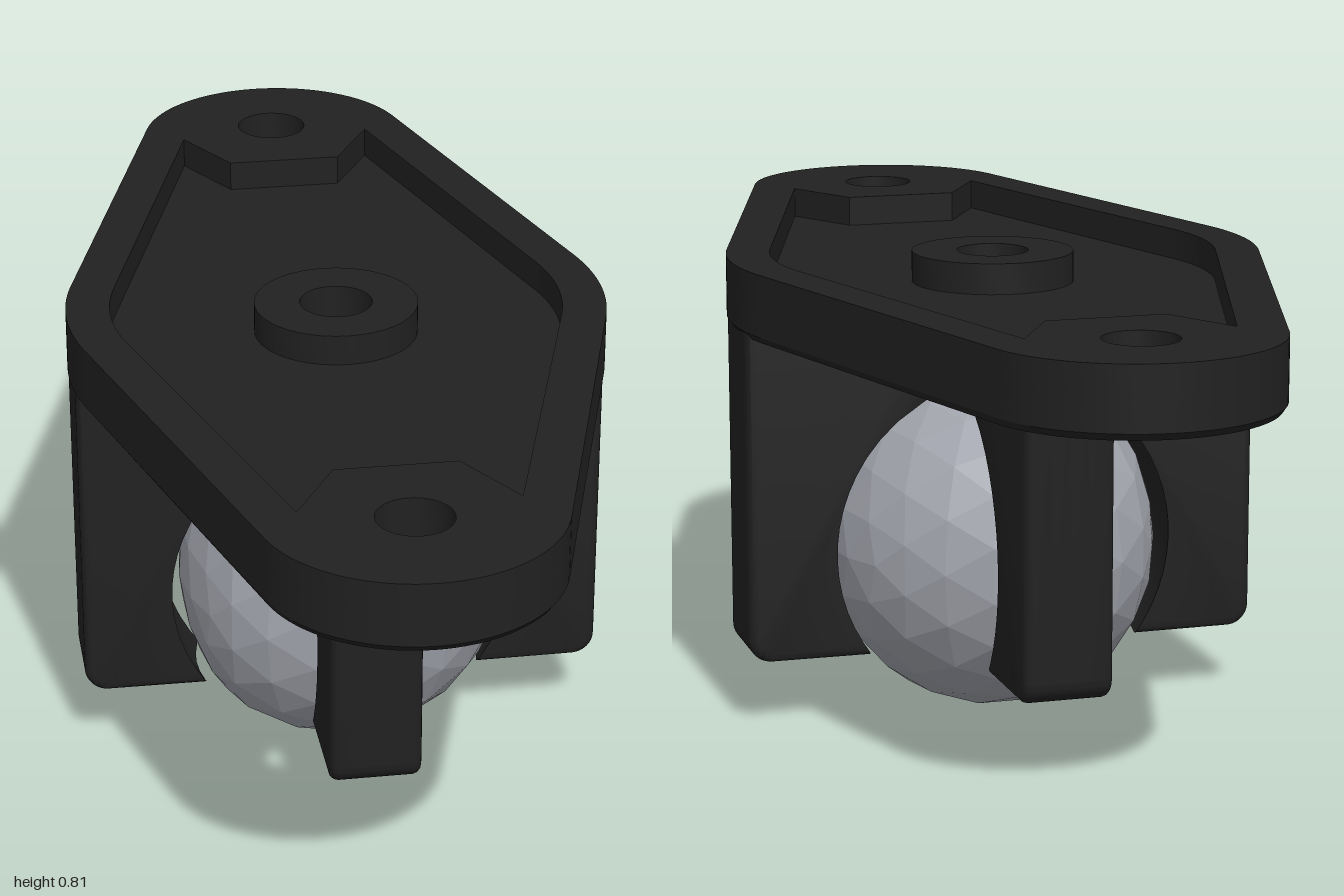
import * as THREE from 'three';
import { toCreasedNormals } from 'three/addons/utils/BufferGeometryUtils.js';

const PLATE_TOP = 0.803, FLOOR = 0.75, POCKET = 0.732, PLATE_BOTTOM = 0.685;
const TILT = Math.asin(0.215 / 0.755); // angle of the plate's tangent sides
const BOLTS = [0.79, -0.808];
const BALL_Y = 0.296;

const black = new THREE.MeshStandardMaterial({ name: 'blackPlastic', color: 0x212121 });
const steel = new THREE.MeshStandardMaterial({ name: 'greyBall', color: 0xa0a3ab });

function circle(z, r) {
  return new THREE.Path().absarc(0, z, r, 0, Math.PI * 2, false);
}

function hexagon(z, r) {
  const points = [];
  for (let i = 0; i < 6; i++) {
    const a = i * Math.PI / 3;
    points.push(new THREE.Vector2(r * Math.cos(a), z + r * Math.sin(a)));
  }
  return new THREE.Path(points);
}

// Diamond outline: wide arcs at the sides, tight arcs at the ends
function plateOutline() {
  const s = new THREE.Shape();
  s.absarc(0, 0, 0.46, -TILT, TILT, false);
  s.absarc(0, 0.755, 0.245, TILT, Math.PI - TILT, false);
  s.absarc(0, 0, 0.46, Math.PI - TILT, Math.PI + TILT, false);
  s.absarc(0, -0.755, 0.245, Math.PI + TILT, 2 * Math.PI - TILT, false);
  s.closePath();
  return s;
}

// Shallow tray, notched by the hexagonal bolt bosses
function recessOutline() {
  const p = new THREE.Path();
  p.absarc(0, 0, 0.385, -TILT, TILT, false);
  p.lineTo(0.175, 0.747).lineTo(0.1, 0.617).lineTo(-0.1, 0.617).lineTo(-0.175, 0.747);
  p.absarc(0, 0, 0.385, Math.PI - TILT, Math.PI + TILT, false);
  p.lineTo(-0.172, -0.762).lineTo(-0.1, -0.635).lineTo(0.1, -0.635).lineTo(0.172, -0.762);
  p.closePath();
  return p;
}

// Horizontal slab between two heights
function slab(name, shape, holes, bottom, top) {
  shape.holes.push(...holes);
  const g = new THREE.ExtrudeGeometry(shape, { depth: top - bottom, bevelEnabled: false, curveSegments: 20 });
  g.rotateX(Math.PI / 2).translate(0, top, 0);
  const mesh = new THREE.Mesh(toCreasedNormals(g, 0.5), black);
  mesh.name = name;
  return mesh;
}

// Narrow the outer bottom edge of a slab, leaving its holes alone
function chamferBottom(mesh, bottom) {
  const p = mesh.geometry.attributes.position;
  for (let i = 0; i < p.count; i++) {
    const x = p.getX(i), z = p.getZ(i);
    const nearHole = [0, ...BOLTS].some((c) => Math.hypot(x, z - c) < 0.15);
    if (p.getY(i) < bottom + 0.001 && !nearHole) p.setXYZ(i, x * 0.98, p.getY(i), z * 0.99);
  }
  mesh.geometry = toCreasedNormals(mesh.geometry, 0.5);
}

// Radius of the hollow between the arms: spherical socket, then a straight bore
function hollow(y) {
  const d = y - BALL_Y;
  return Math.max(0.136, Math.sqrt(Math.max(0, 0.31 * 0.31 - d * d)));
}

// Arm profile extruded across its width, inner face pressed onto the hollow
function armGeometry() {
  const bottom = 0.114, top = 0.735, outer = 0.455, round = 0.04, bevel = 0.015;
  const s = new THREE.Shape();
  s.moveTo(hollow(bottom), bottom);
  s.lineTo(outer - round, bottom);
  s.absarc(outer - round, bottom + round, round, -Math.PI / 2, 0, false);
  s.lineTo(outer, top);
  s.lineTo(0.136, top);
  s.lineTo(0.136, 0.58);
  for (let i = 0; i < 16; i++) {
    const y = 0.574 - (0.574 - bottom) * i / 16;
    s.lineTo(hollow(y), y);
  }
  s.closePath();
  const width = 0.156;
  const g = new THREE.ExtrudeGeometry(s, {
    depth: width - 2 * bevel, steps: 4, curveSegments: 6,
    bevelSize: bevel, bevelThickness: bevel, bevelOffset: -bevel, bevelSegments: 3,
  });
  g.translate(0, 0, bevel - width / 2);
  const p = g.attributes.position;
  for (let i = 0; i < p.count; i++) {
    if (p.getX(i) > 0.36) continue;
    const r = hollow(p.getY(i)), z = p.getZ(i);
    p.setX(i, Math.sqrt(r * r - z * z));
  }
  return toCreasedNormals(g, 0.6);
}

// Faceted ball, slightly worn on its right side
function ballGeometry() {
  const g = new THREE.IcosahedronGeometry(0.299, 3);
  const p = g.attributes.position;
  for (let i = 0; i < p.count; i++) {
    if (p.getX(i) < -0.2) p.setX(i, -0.2 + (p.getX(i) + 0.2) * 0.8);
  }
  g.computeVertexNormals();
  return g;
}

export function createModel() {
  const model = new THREE.Group();
  model.name = 'ballCaster';

  // Mounting plate in layers: nut pockets below, floor, rim with tray above
  const plate = new THREE.Group();
  plate.name = 'mountingPlate';
  const bolts = () => BOLTS.map((z) => circle(z, 0.062));
  const pockets = () => BOLTS.map((z) => hexagon(z, 0.115));
  const mid = PLATE_BOTTOM + 0.012;
  const edge = slab('plateLowerEdge', plateOutline(), [circle(0, 0.062), ...pockets()], PLATE_BOTTOM, mid);
  chamferBottom(edge, PLATE_BOTTOM);
  plate.add(
    edge,
    slab('plateNutPockets', plateOutline(), [circle(0, 0.062), ...pockets()], mid, POCKET),
    slab('plateFloor', plateOutline(), [circle(0, 0.062), ...bolts()], POCKET, FLOOR),
    slab('plateRim', plateOutline(), [recessOutline(), ...bolts()], FLOOR, PLATE_TOP),
  );
  const bossShape = new THREE.Shape().absarc(0, 0, 0.14, 0, Math.PI * 2, false);
  plate.add(slab('centreBoss', bossShape, [circle(0, 0.062)], FLOOR, PLATE_TOP));
  model.add(plate);

  // Four arms gripping the ball
  const arm = armGeometry();
  ['leftArm', 'backArm', 'rightArm', 'frontArm'].forEach((name, i) => {
    const mesh = new THREE.Mesh(arm, black);
    mesh.name = name;
    mesh.rotation.y = i * Math.PI / 2;
    model.add(mesh);
  });

  const ball = new THREE.Mesh(ballGeometry(), steel);
  ball.name = 'ball';
  ball.position.y = BALL_Y;
  model.add(ball);

  return model;
}
